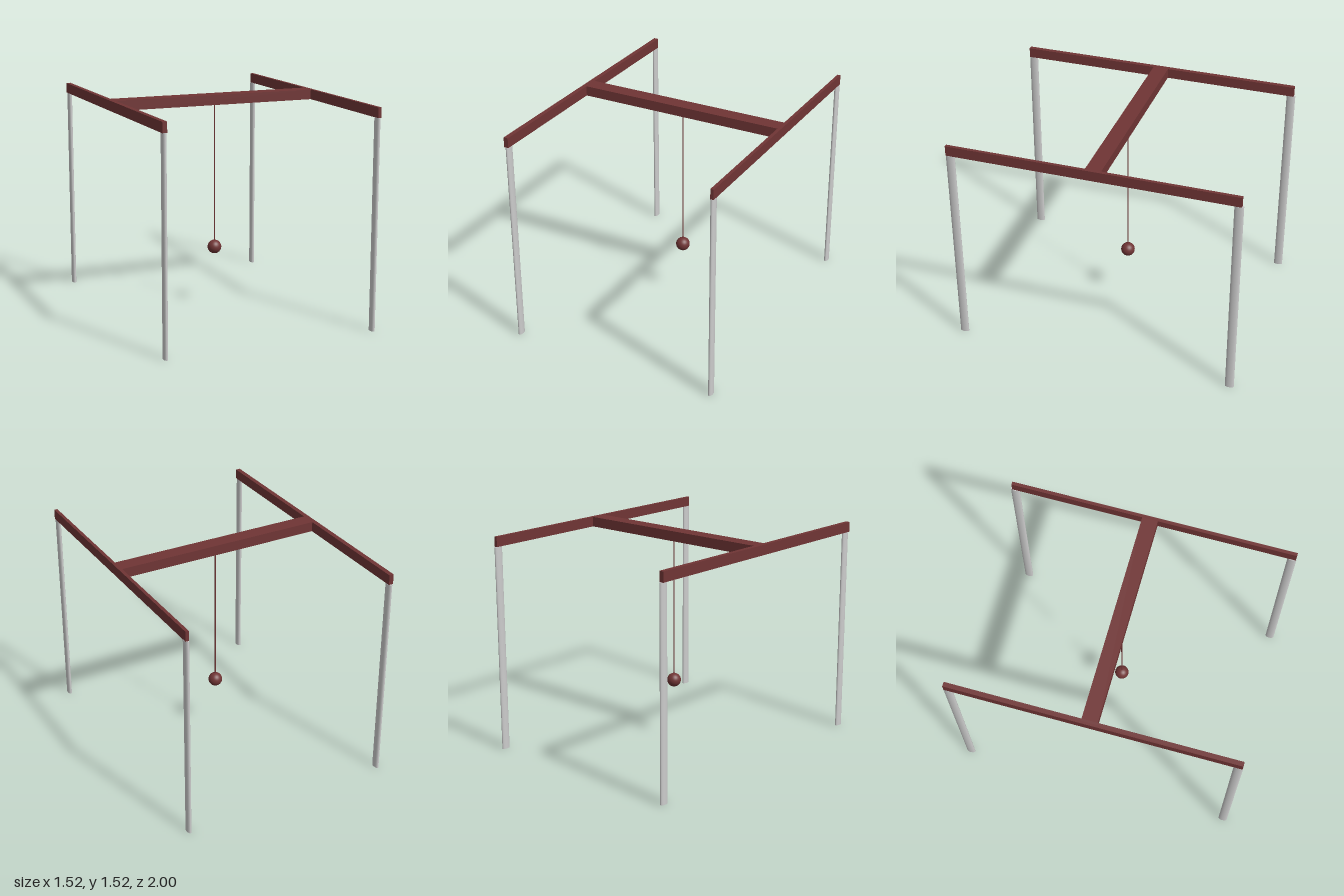
import * as THREE from 'three';

export function createModel() {
  const model = new THREE.Group();
  const wood = new THREE.MeshStandardMaterial({ color: 0x703535 });
  const grey = new THREE.MeshStandardMaterial({ color: 0xcccccc });

  function add(name, geometry, material, x, y, z) {
    const mesh = new THREE.Mesh(geometry, material);
    mesh.name = name;
    mesh.position.set(x, y, z);
    model.add(mesh);
    return mesh;
  }

  const legHeight = 1.45, beamHeight = 0.07;
  const beamY = legHeight + beamHeight / 2;

  // Four legs with an oval section, longer along z
  const legGeometry = new THREE.CylinderGeometry(1, 1, legHeight, 32);
  legGeometry.scale(0.015, 1, 0.031);
  for (const x of [-0.745, 0.745]) {
    for (const z of [-0.969, 0.969]) add('leg', legGeometry, grey, x, legHeight / 2, z);
  }

  // Side rails; the right one is thicker
  add('rightRail', new THREE.BoxGeometry(0.032, beamHeight, 1.985), wood, -0.747, beamY, 0.004);
  add('leftRail', new THREE.BoxGeometry(0.023, beamHeight, 1.985), wood, 0.747, beamY, 0.004);

  // Cross beam between the rails
  add('crossBeam', new THREE.BoxGeometry(1.468, beamHeight, 0.108), wood, 0.002, beamY, -0.015);

  // Pendulum hanging from the cross beam
  const bobY = 0.427;
  const stringLength = legHeight - bobY;
  add('string', new THREE.CylinderGeometry(0.004, 0.004, stringLength, 16), wood, 0.01, bobY + stringLength / 2, -0.01);
  add('bob', new THREE.SphereGeometry(0.049, 32, 20), wood, 0.01, bobY, -0.01);

  return model;
}
